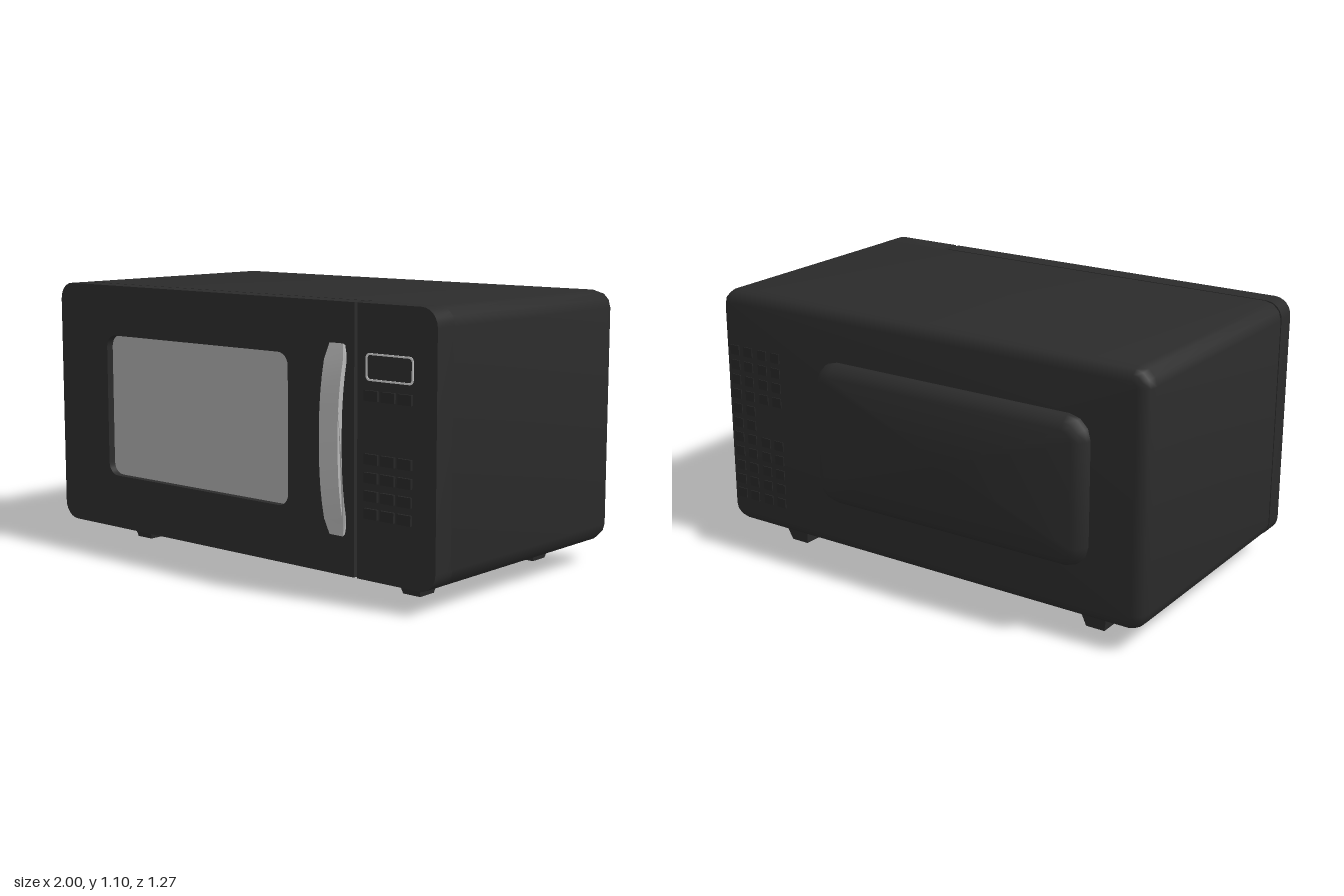
import * as THREE from 'three';
import { toCreasedNormals } from 'three/addons/utils/BufferGeometryUtils.js';

const mat = (name, color) => new THREE.MeshStandardMaterial({ name, color });

// Outline with its own corner radius on the left and right side
function roundedRect(x0, y0, x1, y1, rl, rr, target = new THREE.Shape()) {
  const q = Math.PI / 2;
  target.moveTo(x0 + rl, y0);
  target.lineTo(x1 - rr, y0);
  if (rr) target.absarc(x1 - rr, y0 + rr, rr, -q, 0);
  target.lineTo(x1, y1 - rr);
  if (rr) target.absarc(x1 - rr, y1 - rr, rr, 0, q);
  target.lineTo(x0 + rl, y1);
  if (rl) target.absarc(x0 + rl, y1 - rl, rl, q, 2 * q);
  target.lineTo(x0, y0 + rl);
  if (rl) target.absarc(x0 + rl, y0 + rl, rl, 2 * q, 3 * q);
  target.closePath();
  return target;
}

function slab(shape, z, depth, curveSegments = 3) {
  const g = new THREE.ExtrudeGeometry(shape, { depth, bevelEnabled: false, curveSegments });
  g.translate(0, 0, z);
  return toCreasedNormals(g, 0.7);
}

// Rounded block made of rings [z, inset], listed from front to back
function loft(cx, cy, w, h, r, rings) {
  const seg = 3, n = 4 * (seg + 1), pos = [], idx = [];
  for (const [z, inset] of rings) {
    for (let c = 0; c < 4; c++) {
      const sx = c === 0 || c === 3 ? 1 : -1, sy = c < 2 ? 1 : -1;
      for (let s = 0; s <= seg; s++) {
        const a = (c + s / seg) * Math.PI / 2, k = r - inset;
        pos.push(cx + sx * (w / 2 - r) + k * Math.cos(a), cy + sy * (h / 2 - r) + k * Math.sin(a), z);
      }
    }
  }
  const last = rings.length - 1, front = pos.length / 3;
  pos.push(cx, cy, rings[0][0], cx, cy, rings[last][0]);
  for (let j = 0; j < n; j++) {
    const k = (j + 1) % n;
    for (let i = 0; i < last; i++) {
      const a = i * n + j, b = i * n + k;
      idx.push(a, a + n, b, b, a + n, b + n);
    }
    idx.push(front, j, k, front + 1, last * n + k, last * n + j);
  }
  const g = new THREE.BufferGeometry();
  g.setAttribute('position', new THREE.Float32BufferAttribute(pos, 3));
  g.setIndex(idx);
  return toCreasedNormals(g, 0.7);
}

export function createModel() {
  const model = new THREE.Group();
  model.name = 'microwaveOven';
  const dark = mat('darkHousing', 0x2b2b2b);
  const button = mat('buttonBlack', 0x272727);
  const glass = mat('windowGrey', 0xa9a9a9);
  const silver = mat('handleSilver', 0xb6b6b6);
  const trim = mat('displayTrim', 0xd2d2d2);
  const add = (name, geo, material, parent = model) => {
    const m = new THREE.Mesh(geo, material);
    m.name = name;
    parent.add(m);
    return m;
  };
  const group = (name) => {
    const g = new THREE.Group();
    g.name = name;
    model.add(g);
    return g;
  };

  // Housing, rounded toward the back
  add('housing', loft(0, 0.595, 2, 1.01, 0.07,
    [[0.488, 0], [-0.52, 0], [-0.552, 0.008], [-0.57, 0.025], [-0.576, 0.05]]), dark);
  add('rearBulge', loft(-0.145, 0.595, 1.25, 0.59, 0.09,
    [[-0.57, 0], [-0.595, 0.003], [-0.622, 0.022], [-0.635, 0.05]]), dark);
  add('controlPanel', slab(roundedRect(0.64, 0.09, 1, 1.1, 0, 0.07), 0.48, 0.098), dark);

  // Door with a window opening
  const door = roundedRect(-1, 0.09, 0.625, 1.1, 0.07, 0);
  door.holes.push(roundedRect(-0.715, 0.31, 0.3, 0.895, 0.05, 0.05, new THREE.Path()));
  add('door', slab(door, 0.496, 0.082), dark);
  add('window', slab(roundedRect(-0.725, 0.3, 0.31, 0.905, 0.05, 0.05), 0.54, 0.008), glass);

  // Bowed handle: side profile (z, y) extruded across x
  const bow = new THREE.Shape();
  const outer = [], inner = [];
  for (let i = 0; i <= 12; i++) {
    const t = -1 + i / 6, lift = 1 - Math.abs(t) ** 2.4;
    outer.push(new THREE.Vector2(0.59 + 0.045 * lift, 0.595 + 0.355 * t));
    inner.push(new THREE.Vector2(0.572 + 0.04 * lift, 0.595 + 0.345 * t));
  }
  bow.setFromPoints([...outer, ...inner.reverse()]);
  const handle = new THREE.ExtrudeGeometry(bow, { depth: 0.09, bevelEnabled: false });
  handle.rotateY(-Math.PI / 2);
  // the rotated profile runs along +z, its width along -x
  handle.translate(0.595, 0, 0);
  // narrow the tips for rounded ends
  const p = handle.attributes.position;
  for (let i = 0; i < p.count; i++) {
    if (Math.abs(p.getY(i) - 0.595) > 0.34) p.setX(i, 0.55 + (p.getX(i) - 0.55) * 0.72);
  }
  add('handle', toCreasedNormals(handle, 0.6), silver);

  // Display frame and keys
  const frame = roundedRect(0.68, 0.823, 0.897, 0.923, 0.018, 0.018);
  frame.holes.push(roundedRect(0.687, 0.83, 0.89, 0.916, 0.013, 0.013, new THREE.Path()));
  add('displayFrame', slab(frame, 0.577, 0.004), trim);
  const keys = group('keypad');
  const keyGeo = new THREE.BoxGeometry(0.062, 0.038, 0.02);
  for (const y of [0.77, 0.54, 0.472, 0.405, 0.34]) {
    for (const x of [0.709, 0.786, 0.863]) add('key', keyGeo, button, keys).position.set(x, y, 0.578);
  }

  // Rear vents; the two inner columns are broken in the middle
  const vents = group('rearVents');
  const ventGeo = new THREE.BoxGeometry(0.045, 0.04, 0.008);
  [0.93, 0.86, 0.785, 0.715].forEach((x, col) => {
    for (let row = 0; row < 11; row++) {
      if (col > 1 && (row === 4 || row === 5)) continue;
      add('vent', ventGeo, button, vents).position.set(x, 0.85 - 0.063 * row, -0.576);
    }
  });

  // Tapered square feet
  const footGeo = new THREE.BoxGeometry(0.13, 0.1, 0.135);
  const f = footGeo.attributes.position;
  for (let i = 0; i < f.count; i++) {
    if (f.getY(i) < 0) f.setXYZ(i, f.getX(i) * 0.62, f.getY(i), f.getZ(i) * 0.62);
  }
  footGeo.computeVertexNormals();
  const feet = group('feet');
  for (const x of [-0.735, 0.73]) {
    for (const z of [0.327, -0.415]) add('foot', footGeo, dark, feet).position.set(x, 0.05, z);
  }
  return model;
}
